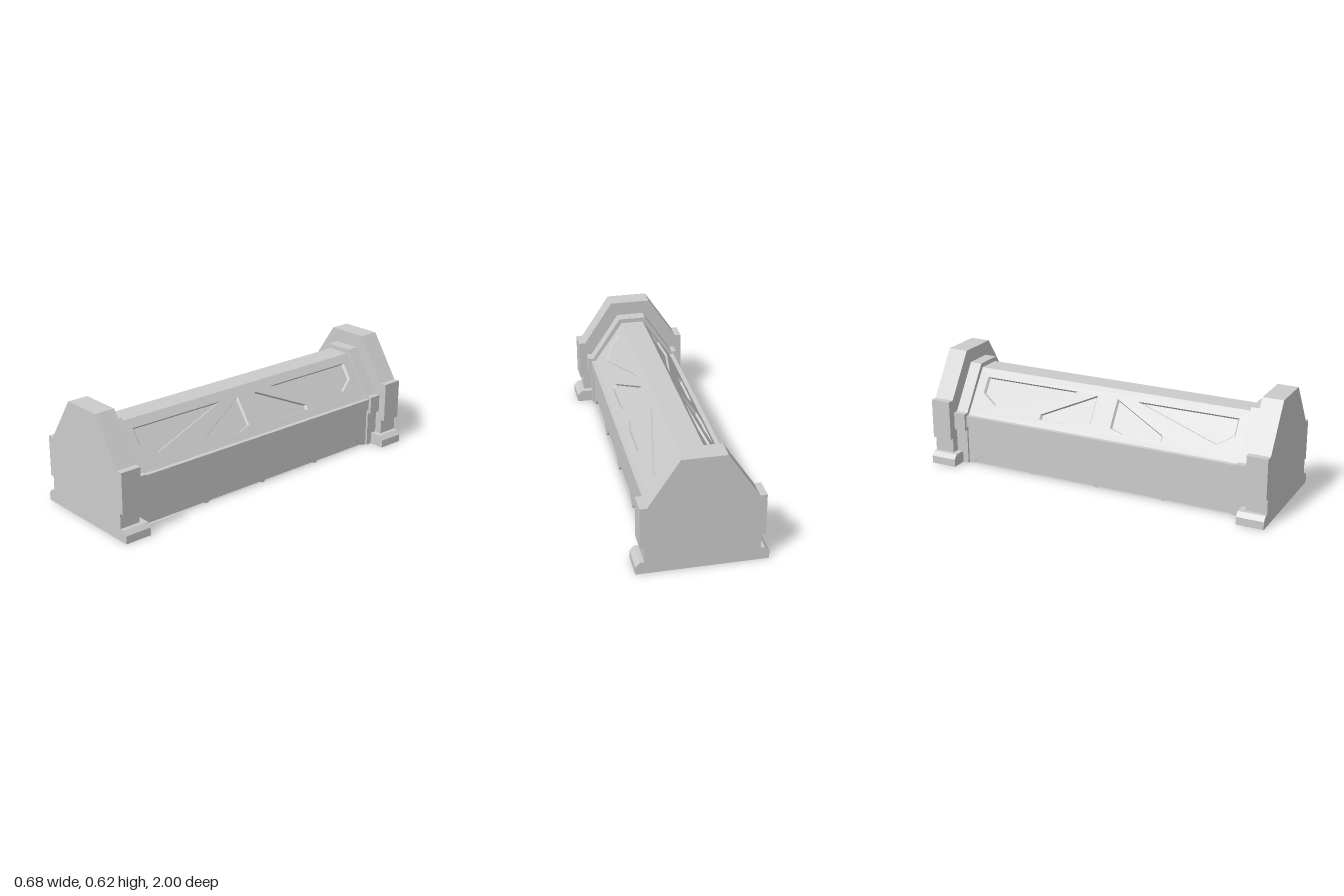
import * as THREE from 'three';
import { mergeGeometries } from 'three/addons/utils/BufferGeometryUtils.js';

const material = new THREE.MeshStandardMaterial({
  color: 0xcccccc, flatShading: true, side: THREE.DoubleSide,
});

const toShape = (pts) => new THREE.Shape(pts.map(([x, y]) => new THREE.Vector2(x, y)));
const mirrorX = (pts) => pts.map(([x, y]) => [-x, y]).reverse();
const arch = (half) => [...half, ...mirrorX(half)];

function fromQuads(quads) {
  const pos = quads.flatMap(([a, b, c, d]) => [a, b, c, a, c, d].flat());
  const geo = new THREE.BufferGeometry();
  geo.setAttribute('position', new THREE.Float32BufferAttribute(pos, 3));
  geo.computeVertexNormals();
  return geo;
}

// Sheet following an open profile in x-y, swept along z
function sweep(pts, z0, z1) {
  return fromQuads(pts.slice(1).map((b, i) => {
    const a = pts[i];
    return [[...a, z0], [...b, z0], [...b, z1], [...a, z1]];
  }));
}

// Flat face in x-y at a given z
function face(pts, z, facesBack = false) {
  const geo = new THREE.ShapeGeometry(toShape(pts));
  if (facesBack) geo.scale(-1, 1, 1).rotateY(Math.PI).scale(1, 1, -1);
  return geo.translate(0, 0, z);
}

// Sunken panel: walls running inward from an outline to a smaller floor
function recess(outline, depth, shrink) {
  const n = outline.length;
  const cx = outline.reduce((s, p) => s + p[0], 0) / n;
  const cy = outline.reduce((s, p) => s + p[1], 0) / n;
  const floor = outline.map(([x, y]) => [cx + (x - cx) * shrink, cy + (y - cy) * shrink]);
  const walls = fromQuads(outline.map((a, i) => {
    const j = (i + 1) % n;
    return [[...a, 0], [...outline[j], 0], [...floor[j], -depth], [...floor[i], -depth]];
  }));
  return [walls, face(floor, -depth)];
}

function mesh(name, geos) {
  const plain = geos.map((g) => {
    const flat = g.index ? g.toNonIndexed() : g;
    flat.deleteAttribute('uv');
    return flat;
  });
  const m = new THREE.Mesh(mergeGeometries(plain), material);
  m.name = name;
  return m;
}

// Half profiles, from the ground up to the ridge
const BODY = [[0.24, 0], [0.24, 0.22], [0.255, 0.22], [0.255, 0.285], [0.23, 0.285], [0.065, 0.52]];
const COLLAR = [[0.252, 0], [0.252, 0.2], [0.272, 0.2], [0.272, 0.3], [0.242, 0.3], [0.078, 0.545]];
const SLAB = [[0.295, 0], [0.295, 0.15], [0.317, 0.15], [0.317, 0.375], [0.28, 0.375], [0.116, 0.622]];
const Z_BODY = 0.815, Z_COLLAR = 0.885, Z_END = 1;

// Engraved panels on the slope, as [z, y]
const PANELS = [
  [[0.18, 0.478], [0.67, 0.35], [0.76, 0.4], [0.76, 0.478]],
  [[0.06, 0.475], [0.06, 0.34], [0.14, 0.322], [0.37, 0.322], [0.37, 0.345]],
];

function createSide() {
  const side = new THREE.Group();

  // Sloped upper panel with engraved recesses
  const [low, high] = [BODY[4], BODY[5]];
  const v = new THREE.Vector3(high[0] - low[0], high[1] - low[1], 0);
  const length = v.length();
  v.normalize();
  const u = new THREE.Vector3(0, 0, -1);
  const frame = new THREE.Matrix4()
    .makeBasis(u, v, new THREE.Vector3().crossVectors(u, v))
    .setPosition(low[0], low[1], 0);
  const up = length / (high[1] - low[1]);
  const outlines = PANELS.flatMap((p) => {
    const right = p.map(([z, y]) => [z, (y - low[1]) * up]);
    return [right, mirrorX(right)];
  });
  const slope = toShape([[-Z_BODY, 0], [Z_BODY, 0], [Z_BODY, length], [-Z_BODY, length]]);
  slope.holes = outlines.map(toShape);
  const slopeParts = [new THREE.ShapeGeometry(slope), ...outlines.flatMap((o) => recess(o, 0.012, 0.94))];
  side.add(mesh('slopedPanel', slopeParts.map((g) => g.applyMatrix4(frame))));

  // Ledge between the slope and the wall
  side.add(mesh('ledge', [sweep(BODY.slice(1, 5), -Z_BODY, Z_BODY)]));

  // Lower wall with four trapezoid recesses along the ground
  const wallFrame = new THREE.Matrix4()
    .makeBasis(u, new THREE.Vector3(0, 1, 0), new THREE.Vector3(1, 0, 0))
    .setPosition(BODY[0][0], 0, 0);
  const notches = [-0.6, -0.2, 0.2, 0.6].map((c) =>
    [[c - 0.193, 0], [c - 0.13, 0.053], [c + 0.13, 0.053], [c + 0.193, 0]]);
  const wall = [[-Z_BODY, 0], ...notches.flat(), [Z_BODY, 0], [Z_BODY, 0.22], [-Z_BODY, 0.22]];
  const wallParts = [face(wall, 0), ...notches.flatMap((o) => recess(o, 0.016, 1))];
  side.add(mesh('lowerWall', wallParts.map((g) => g.applyMatrix4(wallFrame))));
  return side;
}

function createEndCap() {
  const cap = new THREE.Group();
  const [body, collar, slab] = [BODY, COLLAR, SLAB].map(arch);
  const ring = (outer, inner, z) => face([...outer, ...[...inner].reverse()], z, true);

  cap.add(mesh('endSlab', [
    sweep(slab, Z_COLLAR, Z_END), face(slab, Z_END), ring(slab, collar, Z_COLLAR),
  ]));
  cap.add(mesh('collar', [sweep(collar, Z_BODY, Z_COLLAR), ring(collar, body, Z_BODY)]));

  // Chamfered feet, open underneath
  const foot = (inner) => [[0.34, 0], [0.34, 0.043], [0.317, 0.067], [inner, 0.067]];
  for (const [name, flip] of [['leftFoot', (p) => p], ['rightFoot', mirrorX]]) {
    cap.add(mesh(name, [
      sweep(flip(foot(0.252)), 0.85, Z_END),
      face(flip([...foot(0.295), [0.295, 0]]), Z_END),
      face(flip([...foot(0.252), [0.252, 0]]), 0.85, true),
    ]));
  }
  return cap;
}

export function createModel() {
  const model = new THREE.Group();
  model.name = 'barrier';

  // The two sides and the two ends repeat by a half turn
  const add = (part, name, turn) => {
    part.name = name;
    part.rotation.y = turn;
    model.add(part);
  };
  add(createSide(), 'leftSide', 0);
  add(createSide(), 'rightSide', Math.PI);
  add(createEndCap(), 'frontEnd', 0);
  add(createEndCap(), 'backEnd', Math.PI);

  // Flat strip along the ridge
  const [x, y] = BODY[5];
  model.add(mesh('ridge', [sweep([[x, y], [-x, y]], -Z_BODY, Z_BODY)]));
  return model;
}
